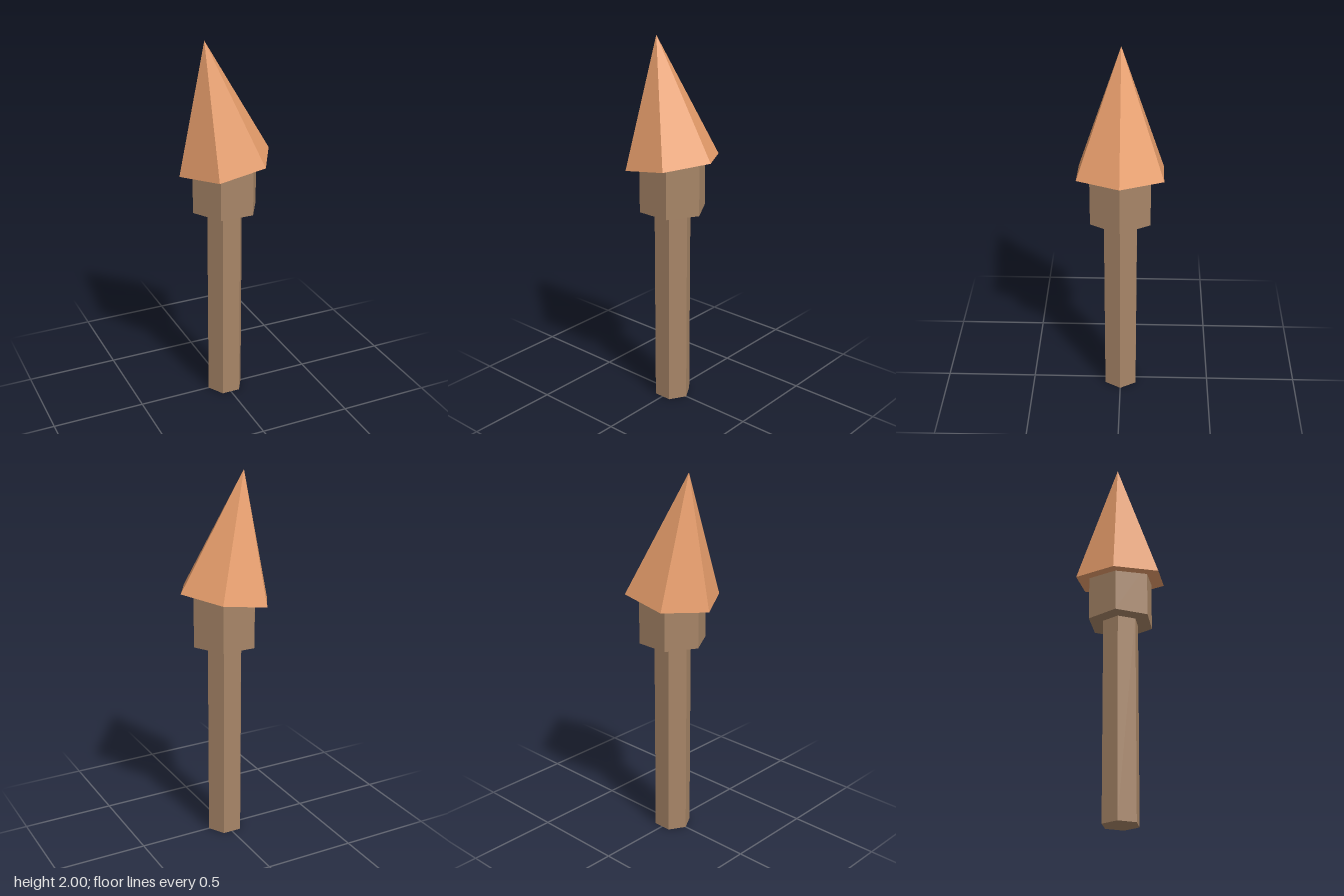
import * as THREE from 'three';

export function createModel() {
  const group = new THREE.Group();
  const paint = (name, color) => {
    const material = new THREE.MeshStandardMaterial({ color, flatShading: true });
    material.name = name;
    return material;
  };
  const wood = paint('wood brown', 0xa78567);
  const copper = paint('copper orange', 0xe69d6b);

  // Six-sided solid with two corners on the x axis
  function hex(name, material, topRadius, bottomRadius, height, y) {
    const geometry = new THREE.CylinderGeometry(topRadius, bottomRadius, height, 6, 1, false, Math.PI / 2);
    const mesh = new THREE.Mesh(geometry, material);
    mesh.name = name;
    mesh.position.y = y;
    group.add(mesh);
    return mesh;
  }

  hex('shaft', wood, 0.1, 0.1, 1.12, 0.56);
  hex('collar', wood, 0.181, 0.181, 0.3, 1.248);

  // Pointed tip, leaning toward -x about the centre of its base
  const height = 0.655, baseY = 1.354, lean = 0.167;
  const tip = hex('pointedTip', copper, 0, 0.2565, height, 0);
  tip.geometry.translate(0, height / 2, 0);
  tip.position.y = baseY;
  tip.rotation.z = lean;

  return group;
}
